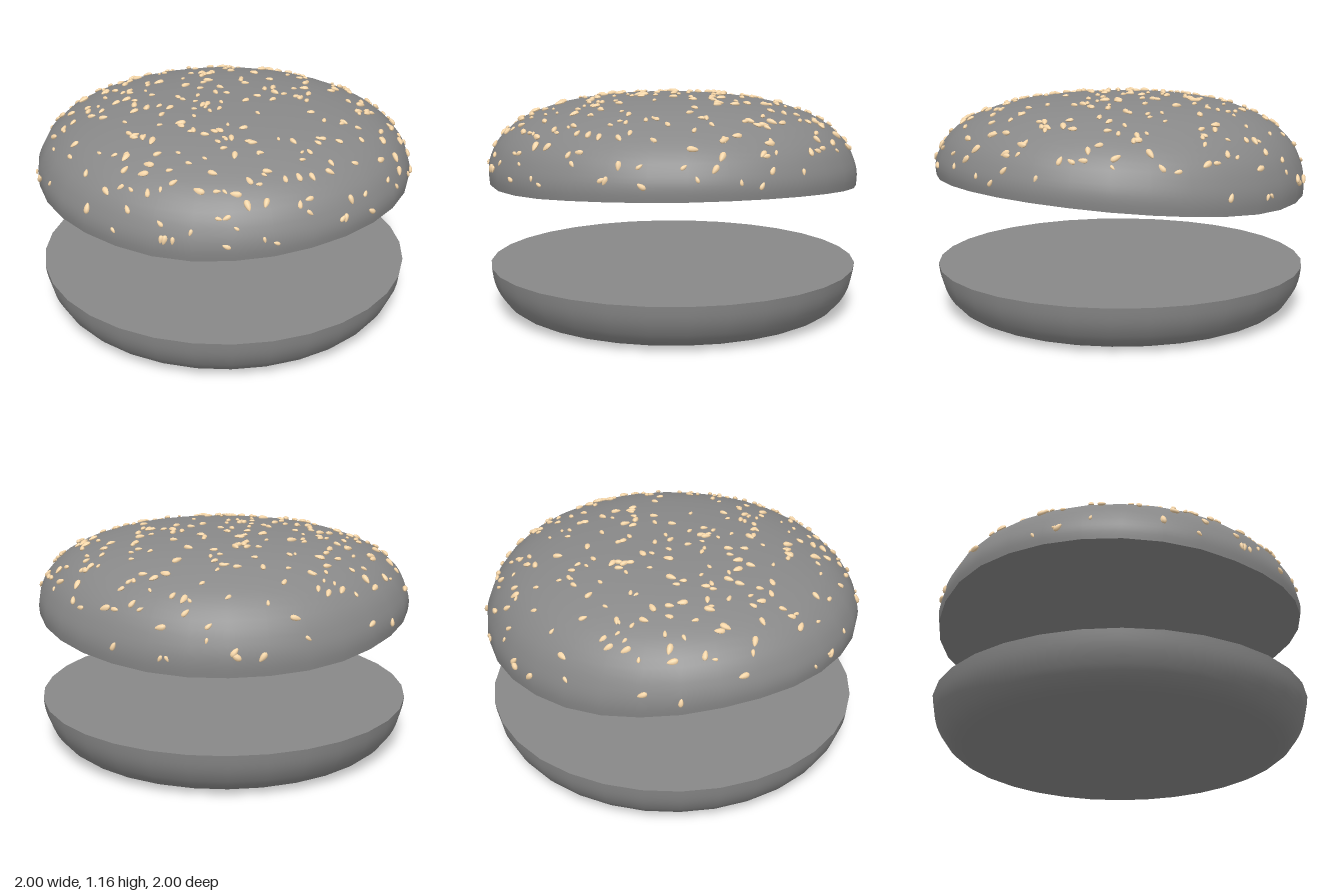
import * as THREE from 'three';
import { mergeVertices, mergeGeometries } from 'three/addons/utils/BufferGeometryUtils.js';

const SIDES = 32;
const RIM_Y = 0.70, TOP_Y = 1.15, RADIUS = 0.99;
const HOLLOW = 0.035; // rise of the cut face at its centre

// Height of the wavy cut edge of the crown, every 22.5 degrees from +x towards +z
const RIM = [0.665, 0.70, 0.73, 0.745, 0.745, 0.735, 0.712, 0.697,
  0.715, 0.728, 0.735, 0.735, 0.693, 0.65, 0.637, 0.637];

function rimOffset(x, z) {
  const a = ((Math.atan2(z, x) / (2 * Math.PI) + 1) % 1) * RIM.length;
  const i = Math.floor(a);
  return THREE.MathUtils.lerp(RIM[i % RIM.length], RIM[(i + 1) % RIM.length], a - i) - RIM_Y;
}

// The wave fades towards the top of the dome
function domeOffset(x, y, z) {
  return rimOffset(x, z) * THREE.MathUtils.clamp((TOP_Y - y) / (TOP_Y - RIM_Y), 0, 1);
}

// The wave fades towards the slightly raised centre of the cut face
function cutOffset(x, y, z) {
  const f = (x * x + z * z) / (RADIUS * RADIUS);
  return THREE.MathUtils.lerp(HOLLOW, rimOffset(x, z), f);
}

const toPoints = (list) => list.map(([r, y]) => new THREE.Vector2(r, y));

// Turned surface, optionally shifted in height, with a smooth seam
function turned(points, offset) {
  let g = new THREE.LatheGeometry(points, SIDES, Math.PI / SIDES);
  const p = g.attributes.position;
  if (offset) {
    for (let i = 0; i < p.count; i++) {
      p.setY(i, p.getY(i) + offset(p.getX(i), p.getY(i), p.getZ(i)));
    }
  }
  g.deleteAttribute('uv');
  g.deleteAttribute('normal');
  g = mergeVertices(g, 1e-4);
  g.computeVertexNormals();
  return g;
}

function seededRandom(seed) {
  return () => {
    seed = (seed + 0x6d2b79f5) | 0;
    let t = Math.imul(seed ^ (seed >>> 15), 1 | seed);
    t = (t + Math.imul(t ^ (t >>> 7), 61 | t)) ^ t;
    return ((t ^ (t >>> 14)) >>> 0) / 4294967296;
  };
}

// Small teardrop seeds lying on the dome at random angles
function seedGeometry(curve, count) {
  const rand = seededRandom(77);
  const base = new THREE.SphereGeometry(1, 8, 6);
  const p = base.attributes.position;
  for (let i = 0; i < p.count; i++) {
    const taper = 1 - 0.3 * p.getY(i);
    p.setX(i, p.getX(i) * taper);
    p.setZ(i, p.getZ(i) * taper);
  }
  base.computeVertexNormals();

  const seeds = [];
  while (seeds.length < count) {
    const s = 0.05 + 0.94 * rand();
    const c = curve.getPointAt(s);
    if (rand() > c.x || (c.y < 0.88 && rand() > 0.5)) continue;
    const t = curve.getTangentAt(s);
    const a = rand() * Math.PI * 2;
    const normal = new THREE.Vector3(t.y * Math.cos(a), -t.x, t.y * Math.sin(a)).normalize();
    const pos = new THREE.Vector3(c.x * Math.cos(a), c.y, c.x * Math.sin(a));
    pos.y += domeOffset(pos.x, pos.y, pos.z);
    pos.addScaledVector(normal, 0.004);

    const around = new THREE.Vector3(-Math.sin(a), 0, Math.cos(a));
    const long = around.applyAxisAngle(normal, rand() * Math.PI * 2);
    const side = new THREE.Vector3().crossVectors(long, normal);
    const size = 0.6 + 0.6 * rand();
    const m = new THREE.Matrix4().makeBasis(side, long, normal);
    m.scale(new THREE.Vector3(0.013 * size, 0.024 * size, 0.011 * size));
    m.setPosition(pos);
    seeds.push(base.clone().applyMatrix4(m));
  }
  return mergeGeometries(seeds);
}

export function createModel() {
  const model = new THREE.Group();
  model.name = 'bun';
  const bread = new THREE.MeshStandardMaterial({ color: 0x888888 });
  const sesame = new THREE.MeshStandardMaterial({ color: 0xf7d6a8 });

  const add = (parent, name, geometry, material) => {
    const mesh = new THREE.Mesh(geometry, material);
    mesh.name = name;
    parent.add(mesh);
  };

  // Heel: flat slice with a rounded lower edge
  const heel = new THREE.Group();
  heel.name = 'bottomBun';
  const heelCurve = new THREE.SplineCurve(toPoints([
    [0.80, 0.006], [0.87, 0.022], [0.925, 0.065], [0.965, 0.13], [0.985, 0.19], [0.994, 0.25]]));
  add(heel, 'bottomCrust',
    turned([new THREE.Vector2(0, 0), new THREE.Vector2(0.6, 0), ...heelCurve.getPoints(12)]), bread);
  add(heel, 'bottomCutFace', turned(toPoints([[0.994, 0.25], [0, 0.25]])), bread);
  model.add(heel);

  // Crown: dome with a wavy cut face
  const crown = new THREE.Group();
  crown.name = 'topBun';
  const domeCurve = new THREE.SplineCurve(toPoints([
    [RADIUS, RIM_Y], [0.994, 0.76], [0.978, 0.83], [0.927, 0.925], [0.815, 1.02],
    [0.62, 1.095], [0.4, 1.133], [0.2, 1.147], [0, TOP_Y]]));
  add(crown, 'topCrust', turned(domeCurve.getPoints(24), domeOffset), bread);
  add(crown, 'topCutFace',
    turned(toPoints([0, 0.2, 0.4, 0.6, 0.8, 1].map((f) => [f * RADIUS, RIM_Y]).reverse()).reverse(), cutOffset), bread);
  add(crown, 'sesameSeeds', seedGeometry(domeCurve, 310), sesame);
  model.add(crown);

  return model;
}
